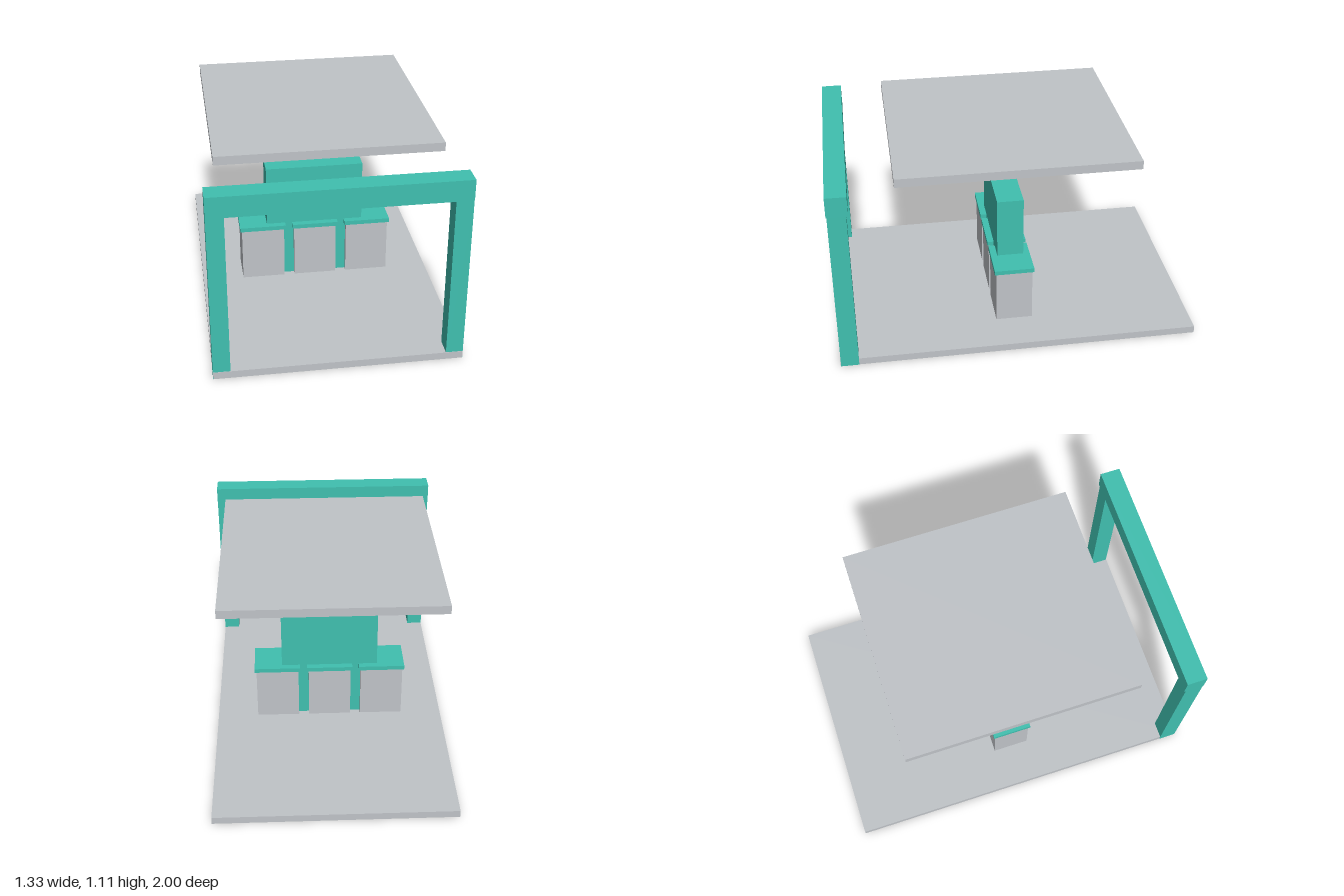
import * as THREE from 'three';

const teal = new THREE.MeshStandardMaterial({ color: 0x40c0b0 });
teal.name = 'teal';
const grey = new THREE.MeshStandardMaterial({ color: 0xc0c4c8 });
grey.name = 'light grey';

// Box given by its lower and upper limits on each axis
function box(name, material, [x0, x1], [y0, y1], [z0, z1]) {
  const mesh = new THREE.Mesh(new THREE.BoxGeometry(x1 - x0, y1 - y0, z1 - z0), material);
  mesh.position.set((x0 + x1) / 2, (y0 + y1) / 2, (z0 + z1) / 2);
  mesh.name = name;
  return mesh;
}

export function createModel() {
  const model = new THREE.Group();
  model.name = 'exhibitionStand';

  // Floor slab and floating canopy
  model.add(box('floor', grey, [-0.664, 0.664], [0.001, 0.042], [-1, 0.998]));
  model.add(box('canopy', grey, [-0.6, 0.6], [1.062, 1.11], [-0.648, 0.648]));

  // Entrance gate
  const gate = new THREE.Group();
  gate.name = 'entranceGate';
  gate.add(box('gateBeam', teal, [-0.665, 0.665], [0.953, 1.068], [0.887, 1]));
  gate.add(box('leftPost', teal, [0.573, 0.665], [0, 0.953], [0.897, 0.996]));
  gate.add(box('rightPost', teal, [-0.665, -0.573], [0, 0.953], [0.897, 0.996]));
  model.add(gate);

  // Central wall, running down through the floor
  model.add(box('centralWall', teal, [-0.28, 0.278], [0, 0.733], [-0.075, 0.075]));

  // Row of three counters with overhanging tops
  [-0.306, -0.001, 0.305].forEach((x, i) => {
    const counter = new THREE.Group();
    counter.name = `counter${i + 1}`;
    counter.add(box('counterBody', grey, [x - 0.123, x + 0.123], [0.042, 0.357], [-0.103, 0.103]));
    counter.add(box('counterTop', teal, [x - 0.133, x + 0.133], [0.355, 0.38], [-0.112, 0.112]));
    model.add(counter);
  });

  return model;
}
